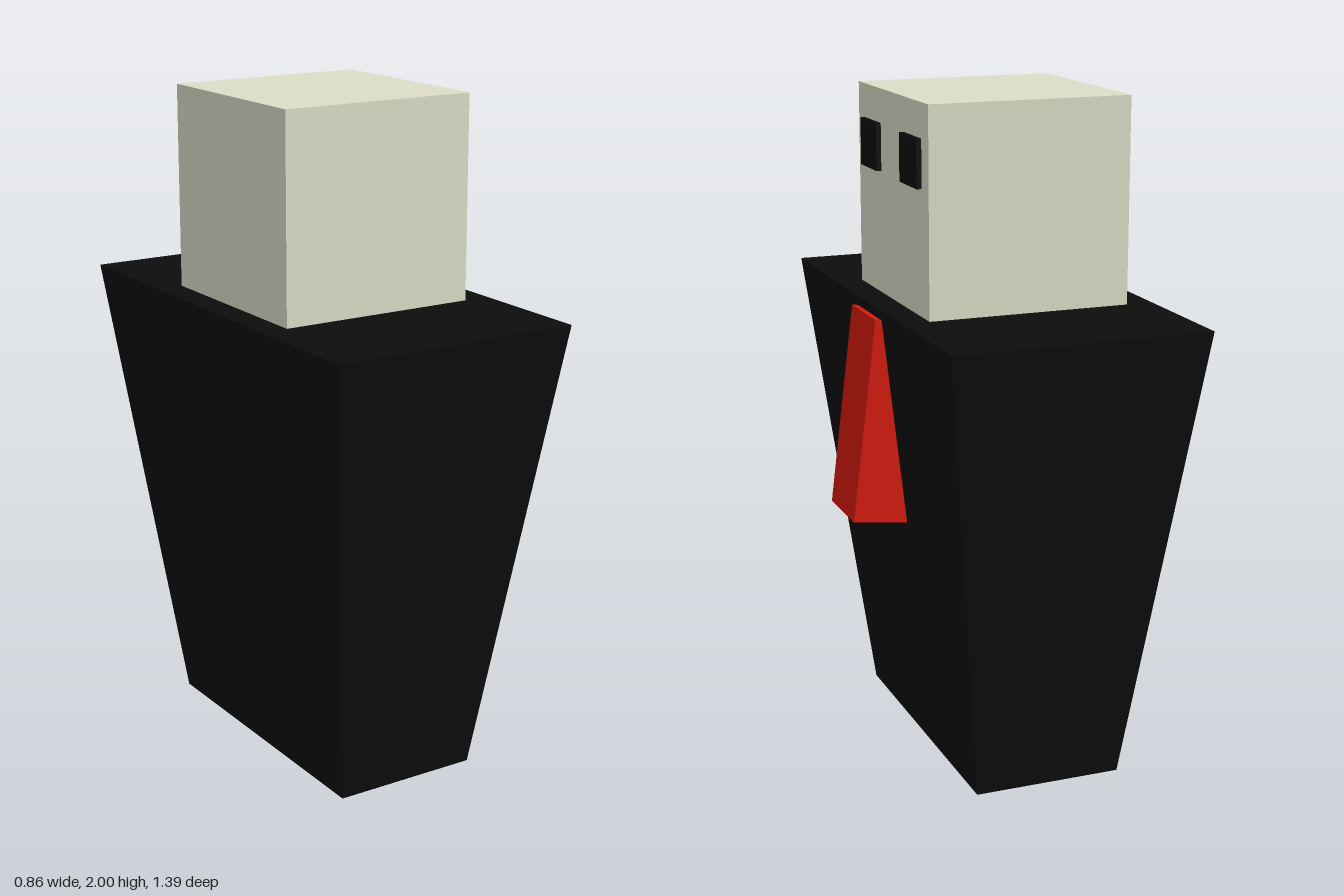
import * as THREE from 'three';

const material = (color) => new THREE.MeshStandardMaterial({ color, flatShading: true });

function addBox(parent, name, size, position, mat) {
  const mesh = new THREE.Mesh(new THREE.BoxGeometry(...size), mat);
  mesh.name = name;
  mesh.position.set(...position);
  parent.add(mesh);
  return mesh;
}

export function createModel() {
  const group = new THREE.Group();
  group.name = 'figure';
  const black = material(0x0d0d0d);
  const cream = material(0xdbddc7);
  const red = material(0xd41a0e);

  // Torso: a box narrowed evenly towards its foot
  const height = 1.395;
  const torso = addBox(group, 'torso', [0.77, height, 1.39], [-0.05, height / 2, 0], black);
  const corners = torso.geometry.attributes.position;
  for (let i = 0; i < corners.count; i++) {
    if (corners.getY(i) < 0) {
      corners.setX(i, Math.sign(corners.getX(i)) * 0.225);
      corners.setZ(i, Math.sign(corners.getZ(i)) * 0.468);
    }
  }
  torso.geometry.computeVertexNormals();

  // Head, with its face towards +x
  addBox(group, 'head', [0.61, 0.61, 0.61], [-0.05, 1.695, 0], cream);

  // Eyes, slightly proud of the face
  for (const side of [1, -1]) {
    addBox(group, side > 0 ? 'leftEye' : 'rightEye',
      [0.04, 0.14, 0.145], [0.25, 1.83, side * 0.175], black);
  }

  // Tie: pivoted at its upper outer edge, swinging out at the bottom
  const tie = new THREE.Group();
  tie.name = 'tie';
  tie.position.set(0.35, 1.365, 0);
  tie.rotation.z = 0.124;
  addBox(tie, 'tieBlade', [0.22, 0.61, 0.22], [-0.11, -0.305, 0], red);
  group.add(tie);

  return group;
}
